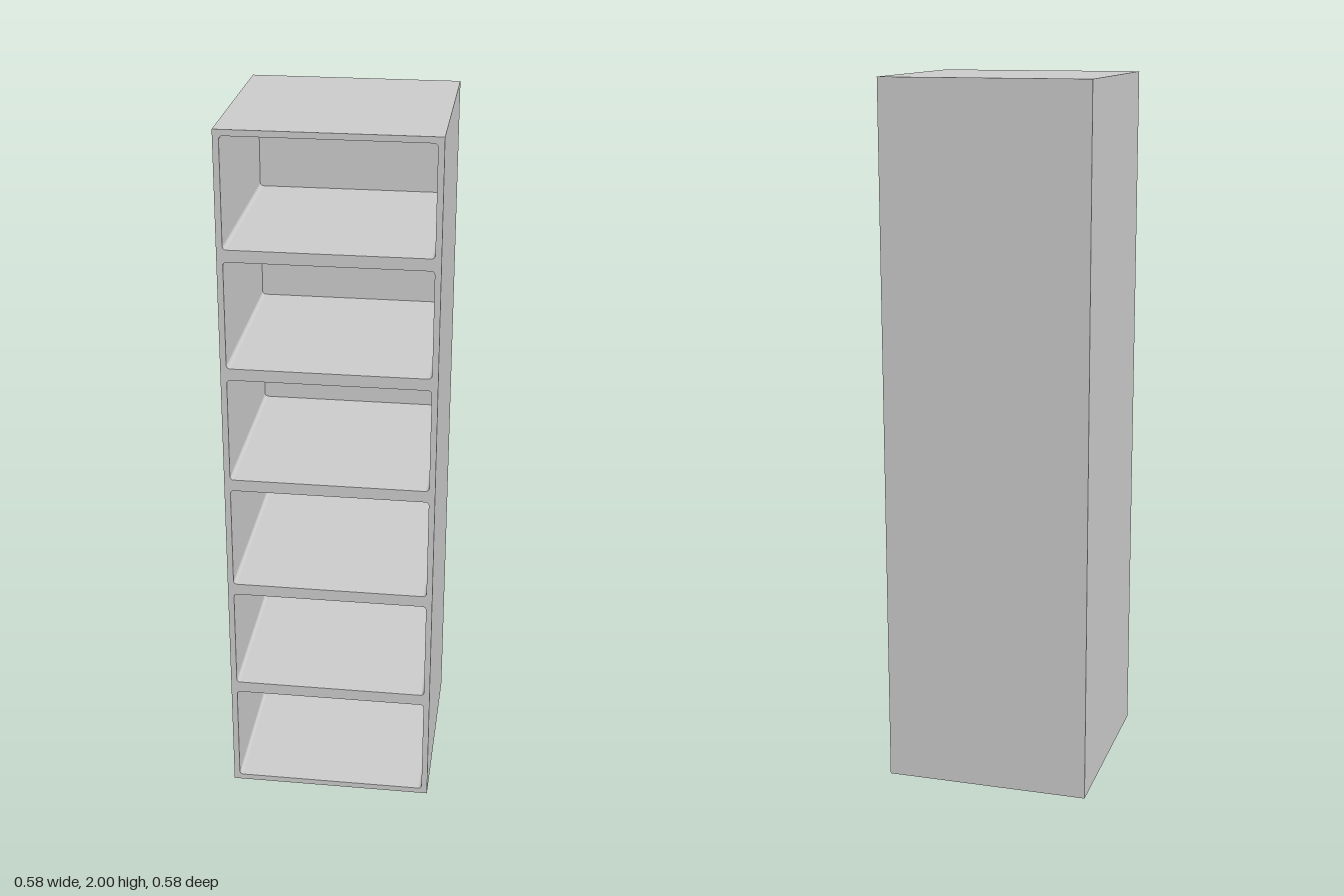
import * as THREE from 'three';

const WIDTH = 0.584, HEIGHT = 2, DEPTH = 0.584;
const CELLS = 6, WALL = 0.0167, CORNER = 0.01;

// Rectangular opening with slightly rounded corners
function openingPath(x0, y0, x1, y1, r) {
  const p = new THREE.Path();
  p.absarc(x1 - r, y1 - r, r, 0, Math.PI / 2);
  p.absarc(x0 + r, y1 - r, r, Math.PI / 2, Math.PI);
  p.absarc(x0 + r, y0 + r, r, Math.PI, Math.PI * 1.5);
  p.absarc(x1 - r, y0 + r, r, Math.PI * 1.5, Math.PI * 2);
  p.closePath();
  return p;
}

export function createModel() {
  const group = new THREE.Group();
  group.name = 'shelfTower';
  const material = new THREE.MeshStandardMaterial({ color: 0xcccccc });
  const w = WIDTH / 2;

  // Frame: side walls, top, bottom and shelves around the open compartments
  const outline = new THREE.Shape([
    new THREE.Vector2(-w, 0), new THREE.Vector2(w, 0),
    new THREE.Vector2(w, HEIGHT), new THREE.Vector2(-w, HEIGHT),
  ]);
  const pitch = HEIGHT / CELLS;
  for (let i = 0; i < CELLS; i++) {
    outline.holes.push(openingPath(
      -w + WALL, i * pitch + WALL, w - WALL, (i + 1) * pitch - WALL, CORNER));
  }
  const frameGeometry = new THREE.ExtrudeGeometry(outline, {
    depth: DEPTH - WALL, bevelEnabled: false, curveSegments: 4,
  });
  frameGeometry.translate(0, 0, -DEPTH / 2 + WALL);
  const frame = new THREE.Mesh(frameGeometry, material);
  frame.name = 'frameWithShelves';
  group.add(frame);

  // Back panel closing every compartment
  const back = new THREE.Mesh(new THREE.BoxGeometry(WIDTH, HEIGHT, WALL), material);
  back.position.set(0, HEIGHT / 2, -DEPTH / 2 + WALL / 2);
  back.name = 'backPanel';
  group.add(back);

  return group;
}
